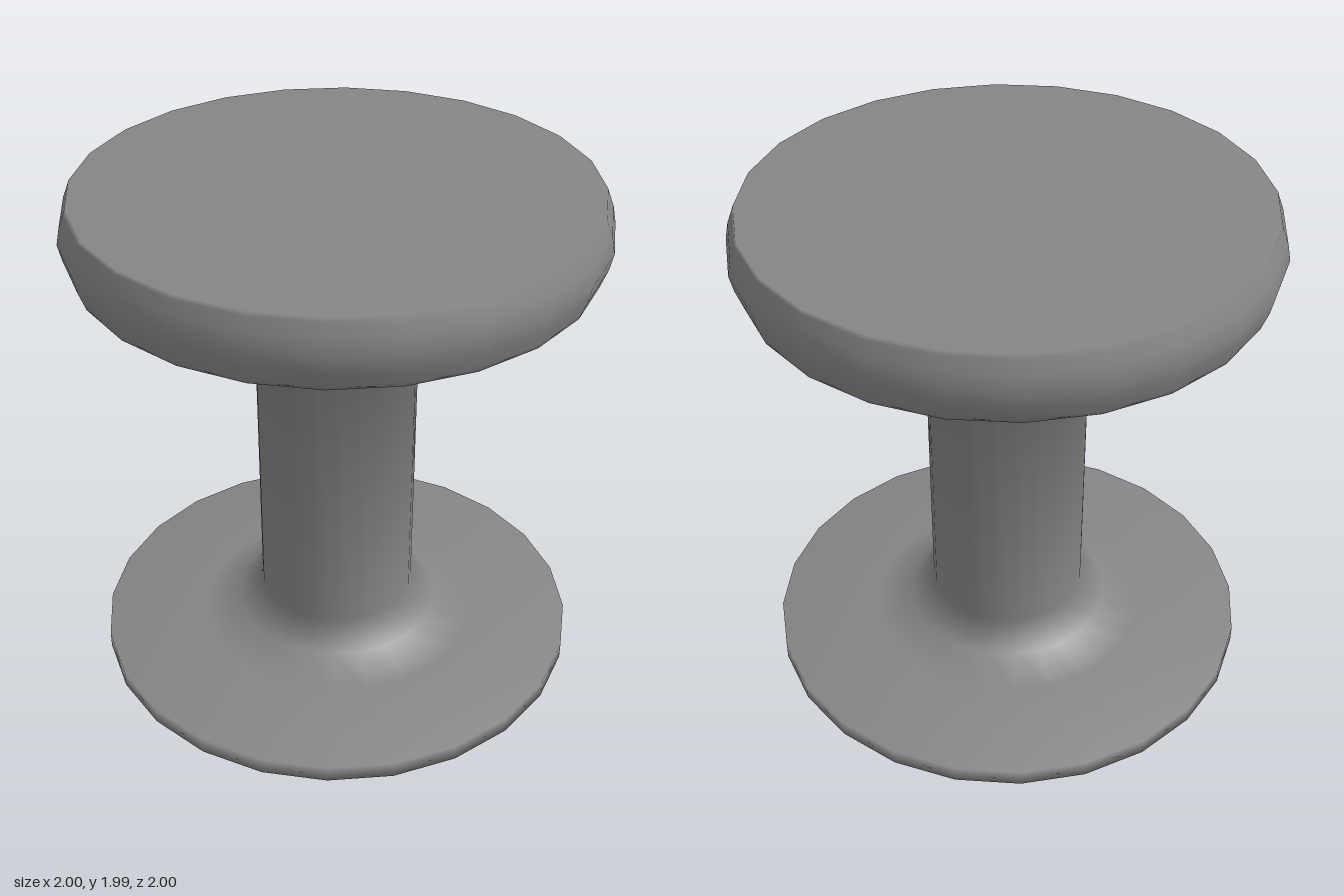
import * as THREE from 'three';
import { mergeVertices } from 'three/addons/utils/BufferGeometryUtils.js';

const SIDES = 24;
const material = new THREE.MeshStandardMaterial({ color: 0x858585 });

// Outline of the whole turned body, [radius, height] from the floor up
const PROFILE = [
  // floor plate
  [0, 0], [0.965, 0], [0.965, 0.065],
  // flared foot and column
  [0.56, 0.065], [0.41, 0.13], [0.312, 0.22], [0.312, 1.73],
  // seat underside, bulging rim and flat top
  [0.962, 1.73], [0.967, 1.745], [0.987, 1.8], [1, 1.862],
  [0.987, 1.925], [0.967, 1.975], [0.962, 1.99], [0, 1.99],
];

// One welded surface of revolution, so the shading flows across all the parts
function turnedBody() {
  const points = PROFILE.map(([r, y]) => new THREE.Vector2(r, y));
  const lathe = new THREE.LatheGeometry(points, SIDES);
  lathe.deleteAttribute('normal');
  lathe.deleteAttribute('uv');
  const body = mergeVertices(lathe);
  body.computeVertexNormals();
  return body;
}

// The faces of the body whose middle height lies between low and high
function part(name, body, low, high) {
  const faces = [];
  for (let i = 0; i < body.index.count; i += 3) {
    const corners = [0, 1, 2].map((k) => body.index.getX(i + k));
    const heights = corners.map((c) => body.attributes.position.getY(c));
    const middle = (Math.min(...heights) + Math.max(...heights)) / 2;
    if (middle > low && middle <= high) faces.push(...corners);
  }
  const geometry = body.clone();
  geometry.setIndex(faces);
  const mesh = new THREE.Mesh(geometry, material);
  mesh.name = name;
  return mesh;
}

export function createModel() {
  const model = new THREE.Group();
  model.name = 'stool';
  const body = turnedBody();
  model.add(
    part('basePlate', body, -1, 0.07),
    part('flaredFoot', body, 0.07, 0.22),
    part('column', body, 0.22, 1.7),
    part('seat', body, 1.7, 2),
  );
  return model;
}
